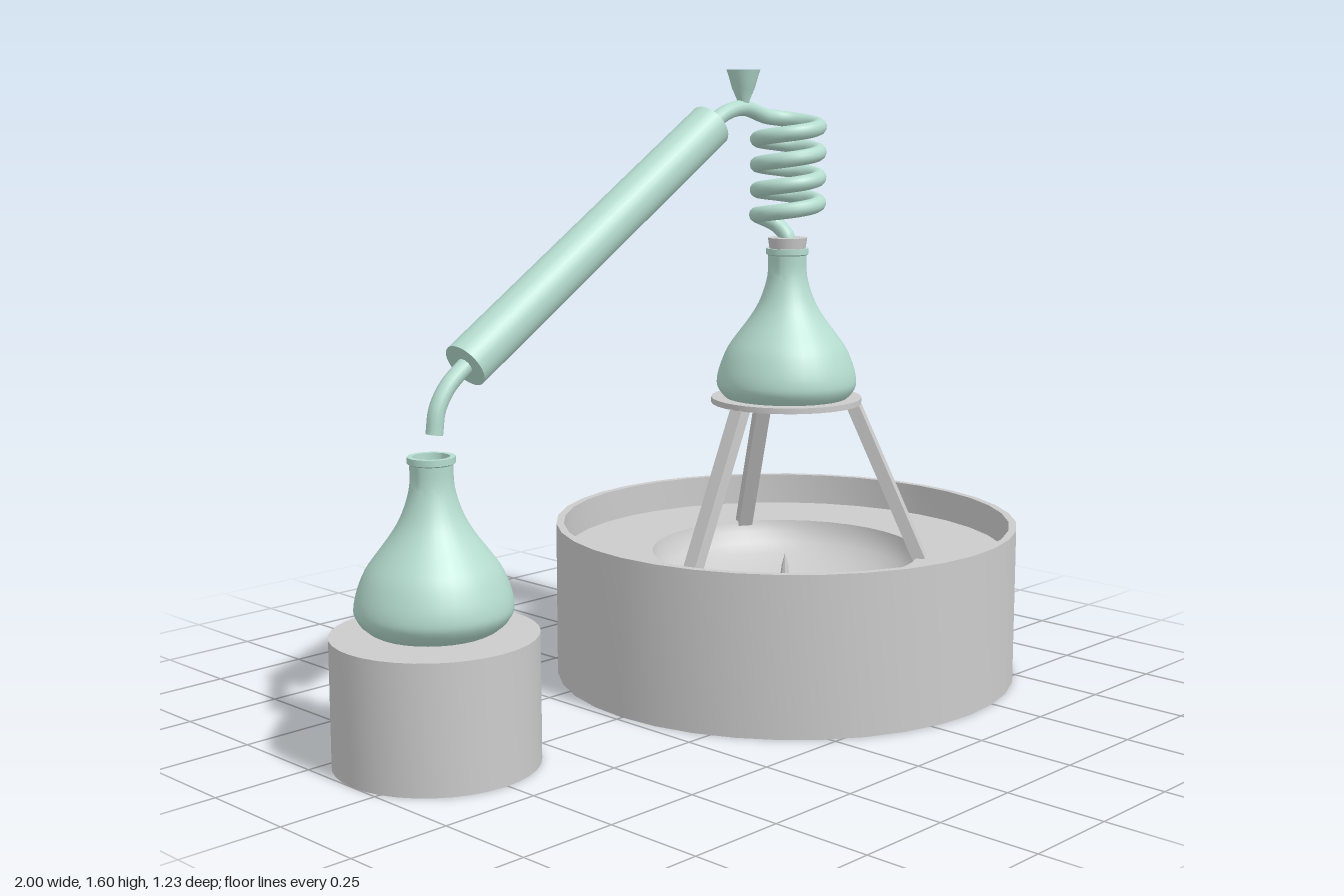
import * as THREE from 'three';
import { toCreasedNormals } from 'three/addons/utils/BufferGeometryUtils.js';

const grey = new THREE.MeshStandardMaterial({ color: 0xcccccc, side: THREE.DoubleSide });
const green = new THREE.MeshStandardMaterial({ color: 0xb5dccf, side: THREE.DoubleSide });

export function createModel() {
  const model = new THREE.Group();

  function add(name, geometry, material, x = 0, y = 0, z = 0) {
    const mesh = new THREE.Mesh(geometry, material);
    mesh.name = name;
    mesh.position.set(x, y, z);
    model.add(mesh);
    return mesh;
  }
  const lathe = (points, segments = 32, crease = 0.6) => toCreasedNormals(
    new THREE.LatheGeometry(points.map(p => new THREE.Vector2(...p)), segments), crease);

  const mainX = 0.383, sideX = -0.755, backZ = -0.082;

  // Fire basin: drum with thin rim, recessed plate and shallow bowl
  const basin = [[0, 0], [0.615, 0], [0.615, 0.41], [0.595, 0.41], [0.595, 0.325]];
  for (let i = 0; i <= 8; i++) {
    const a = (i / 8) * Math.PI / 2;
    basin.push([0.357 * Math.cos(a), 0.325 - 0.15 * Math.sin(a)]);
  }
  add('basin', lathe(basin, 36), grey, mainX);
  add('burnerWick', lathe([[0.016, 0.17], [0.015, 0.23], [0.009, 0.28], [0, 0.315]], 8), grey, mainX);

  // Receiver stand: capped on top, open underneath
  add('receiverStand', lathe([[0.245, 0], [0.245, 0.31], [0, 0.31]], 36), grey, sideX, 0, backZ);

  // Tripod: flat ring on three splayed legs
  add('tripodRing', lathe([[0.155, 0.728], [0.2, 0.728], [0.2, 0.743], [0.155, 0.743], [0.155, 0.728]]),
    grey, mainX);
  const legTop = new THREE.Vector3(0.178, 0.735, 0), legFoot = new THREE.Vector3(0.365, 0.32, 0);
  const legDir = legTop.clone().sub(legFoot);
  for (let i = 0; i < 3; i++) {
    const pivot = new THREE.Group();
    pivot.name = 'tripodLeg' + (i + 1);
    const leg = new THREE.Mesh(new THREE.BoxGeometry(0.033, legDir.length(), 0.04), grey);
    leg.position.copy(legTop).add(legFoot).multiplyScalar(0.5);
    leg.rotation.z = Math.atan2(-legDir.x, legDir.y);
    pivot.add(leg);
    pivot.position.x = mainX;
    pivot.rotation.y = Math.PI / 3 + i * Math.PI * 2 / 3;
    model.add(pivot);
  }

  // Two matching flasks with rounded bases and lipped, open necks
  const outline = [[0, 0], [0.12, 0.002], [0.16, 0.018], [0.182, 0.045], [0.185, 0.07], [0.177, 0.105],
    [0.158, 0.15], [0.13, 0.19], [0.1, 0.23], [0.076, 0.27], [0.059, 0.315], [0.051, 0.355], [0.051, 0.397]];
  const curve = new THREE.SplineCurve(outline.map(p => new THREE.Vector2(...p)));
  const flask = lathe([...curve.getPoints(36).map(p => [Math.max(p.x, 0), p.y]),
    [0.056, 0.4], [0.056, 0.415], [0.043, 0.415], [0.04, 0.34]]);
  add('boilingFlask', flask, green, mainX, 0.723, 0);
  add('receivingFlask', flask, green, sideX, 0.312, backZ);

  // Stopper in the boiling flask
  add('stopper', lathe([[0, 1.1], [0.042, 1.1], [0.052, 1.166], [0, 1.166]], 20), grey, mainX);

  // One continuous tube: riser, four-turn coil, bend, condenser core and spout
  const path = [[mainX, 1.11, 0], [mainX, 1.165, 0], [mainX - 0.008, 1.2, -0.035]];
  const coilRadius = 0.08, turns = 4, steps = 12;
  for (let i = 1; i <= turns * steps; i++) {
    const a = (i / steps) * Math.PI * 2;
    path.push([mainX - coilRadius * Math.sin(a), 1.217 + 0.066 * i / steps, -coilRadius * Math.cos(a)]);
  }
  const high = new THREE.Vector3(0.171, 1.46, backZ), low = new THREE.Vector3(-0.65, 0.925, backZ);
  path.push([0.3, 1.503, backZ], [0.235, 1.493, backZ], high.toArray());
  for (const t of [0.1, 0.5, 0.9]) path.push(high.clone().lerp(low, t).toArray());
  path.push(low.toArray(), [-0.705, 0.88, backZ], [-0.735, 0.832, backZ], [-0.745, 0.775, backZ]);
  const tubeCurve = new THREE.CatmullRomCurve3(path.map(p => new THREE.Vector3(...p)));
  add('coiledTube', new THREE.TubeGeometry(tubeCurve, 400, 0.0205, 12), green);

  // Condenser jacket around the sloping run
  const slope = high.clone().sub(low);
  const jacket = add('condenserJacket', new THREE.CylinderGeometry(0.058, 0.058, slope.length(), 28), green,
    (high.x + low.x) / 2, (high.y + low.y) / 2, backZ);
  jacket.rotation.z = Math.atan2(-slope.x, slope.y);

  // Filling funnel at the crest of the tube
  add('funnel', lathe([[0.012, 1.495], [0.017, 1.525], [0.03, 1.555], [0.037, 1.58], [0.044, 1.602],
    [0.035, 1.602], [0.028, 1.575], [0, 1.55]], 16), green, 0.298, 0, backZ);

  return model;
}
